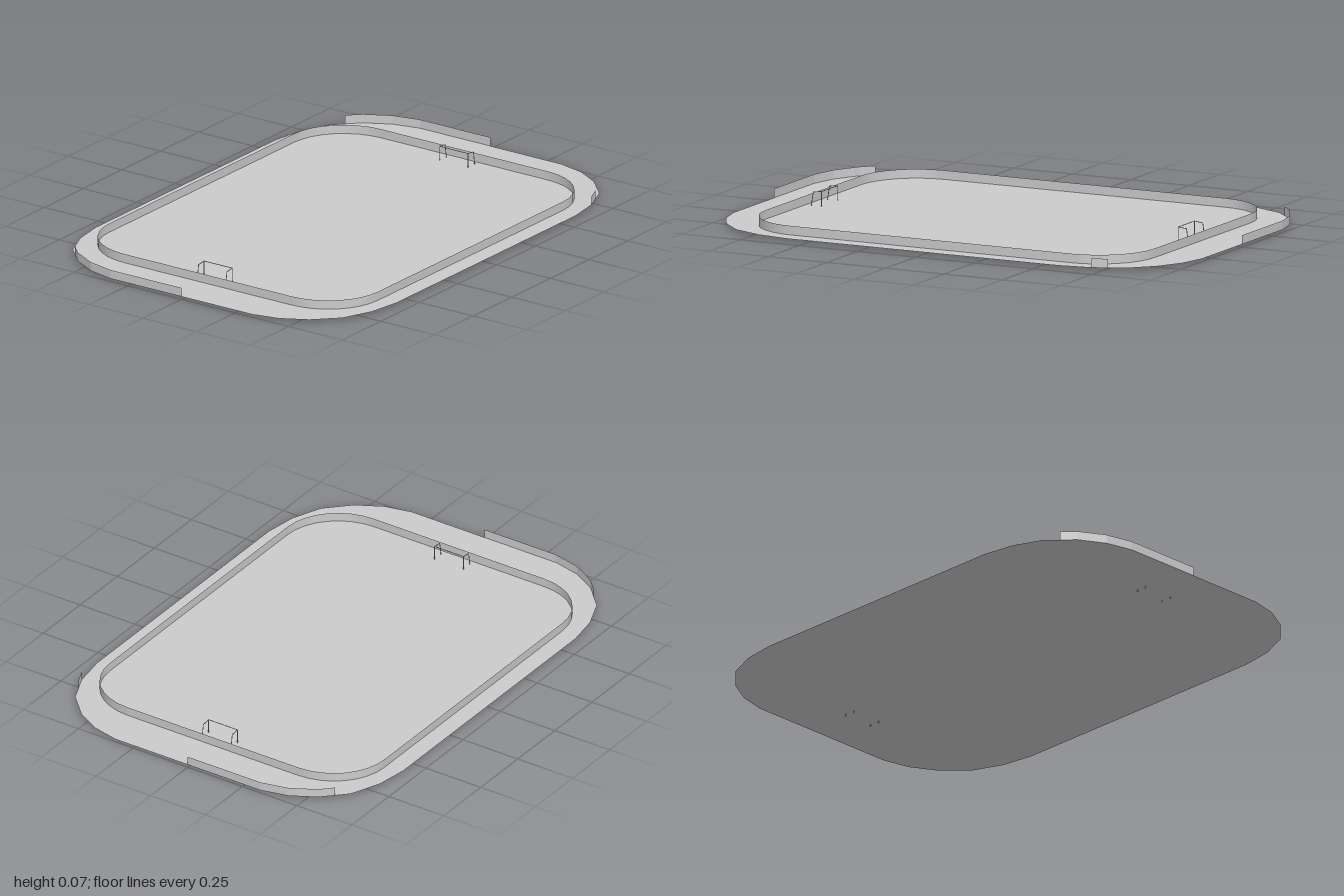
import * as THREE from 'three';

const FLOOR = 0.011, TOP = 0.046;
const material = new THREE.MeshStandardMaterial({ color: 0xcccccc, side: THREE.DoubleSide });
const flatMaterial = new THREE.MeshStandardMaterial({ color: 0xcccccc, side: THREE.DoubleSide, flatShading: true });

// Mirrors one corner (given from the x side round to the z side) into a closed outline
function mirrorCorner(corner) {
  const back = [...corner].reverse();
  return [
    ...corner,
    ...back.map(([x, z]) => [-x, z]),
    ...corner.map(([x, z]) => [-x, -z]),
    ...back.map(([x, z]) => [x, -z]),
  ];
}

// Thin upright strip following a path of [x, z] points
function wall(name, path, mat, closed = false) {
  const pts = closed ? [...path, path[0]] : path;
  const positions = [], index = [];
  pts.forEach(([x, z], i) => {
    positions.push(x, FLOOR, z, x, TOP, z);
    if (i > 0) {
      const a = 2 * (i - 1);
      index.push(a, a + 1, a + 2, a + 1, a + 3, a + 2);
    }
  });
  const geometry = new THREE.BufferGeometry();
  geometry.setAttribute('position', new THREE.Float32BufferAttribute(positions, 3));
  geometry.setIndex(index);
  geometry.computeVertexNormals();
  const mesh = new THREE.Mesh(geometry, mat);
  mesh.name = name;
  return mesh;
}

// Straight piece of wire between two points
function wire(a, b) {
  const start = new THREE.Vector3(...a), end = new THREE.Vector3(...b);
  const dir = end.clone().sub(start);
  const mesh = new THREE.Mesh(new THREE.CylinderGeometry(0.0015, 0.0015, dir.length(), 6), material);
  mesh.position.copy(start).add(end).multiplyScalar(0.5);
  mesh.quaternion.setFromUnitVectors(new THREE.Vector3(0, 1, 0), dir.normalize());
  mesh.name = 'handleWire';
  return mesh;
}

// Wire handle: a long bar with a bent, two-legged bracket at each end
function handle(side) {
  const group = new THREE.Group();
  group.name = side > 0 ? 'leftHandle' : 'rightHandle';
  const inner = 0.762 * side, outer = 0.797 * side;
  group.add(wire([inner, 0.068, -0.066], [inner, 0.068, 0.066]));
  for (const z of [-0.066, 0.066]) {
    group.add(wire([inner, 0.068, z], [inner, 0, z]));
    group.add(wire([inner, 0.068, z], [outer, 0.064, z]));
    group.add(wire([outer, 0.064, z], [outer + 0.01 * side, 0, z]));
  }
  return group;
}

export function createModel() {
  const model = new THREE.Group();
  model.name = 'tray';

  // Flat base plate with faceted corners
  const corner = [[1, 0.33], [0.975, 0.44], [0.92, 0.54], [0.83, 0.63], [0.71, 0.68], [0.58, 0.7]];
  const outline = mirrorCorner(corner).map(([x, z]) => new THREE.Vector2(x, -z));
  const plate = new THREE.Mesh(new THREE.ShapeGeometry(new THREE.Shape(outline)), material);
  plate.rotation.x = -Math.PI / 2;
  plate.position.y = FLOOR;
  plate.name = 'basePlate';
  model.add(plate);

  // Continuous inner wall with rounded corners
  const arc = [];
  for (let i = 0; i <= 8; i++) {
    const t = (i / 8) * Math.PI / 2;
    arc.push([0.6 + 0.23 * Math.cos(t), 0.39 + 0.237 * Math.sin(t)]);
  }
  model.add(wall('innerWall', mirrorCorner(arc), material, true));

  // Partial outer rims along the back half of each end
  for (const side of [-1, 1]) {
    const path = [[1, 0], [1, -0.33], [0.975, -0.44], [0.92, -0.54], [0.873, -0.587]];
    model.add(wall(side > 0 ? 'leftRim' : 'rightRim', path.map(([x, z]) => [x * side, z]), flatMaterial));
    model.add(handle(side));
  }

  // Short rim tab on the front left corner
  model.add(wall('frontTab', [[0.71, 0.68], [0.77, 0.655]], flatMaterial));

  return model;
}
